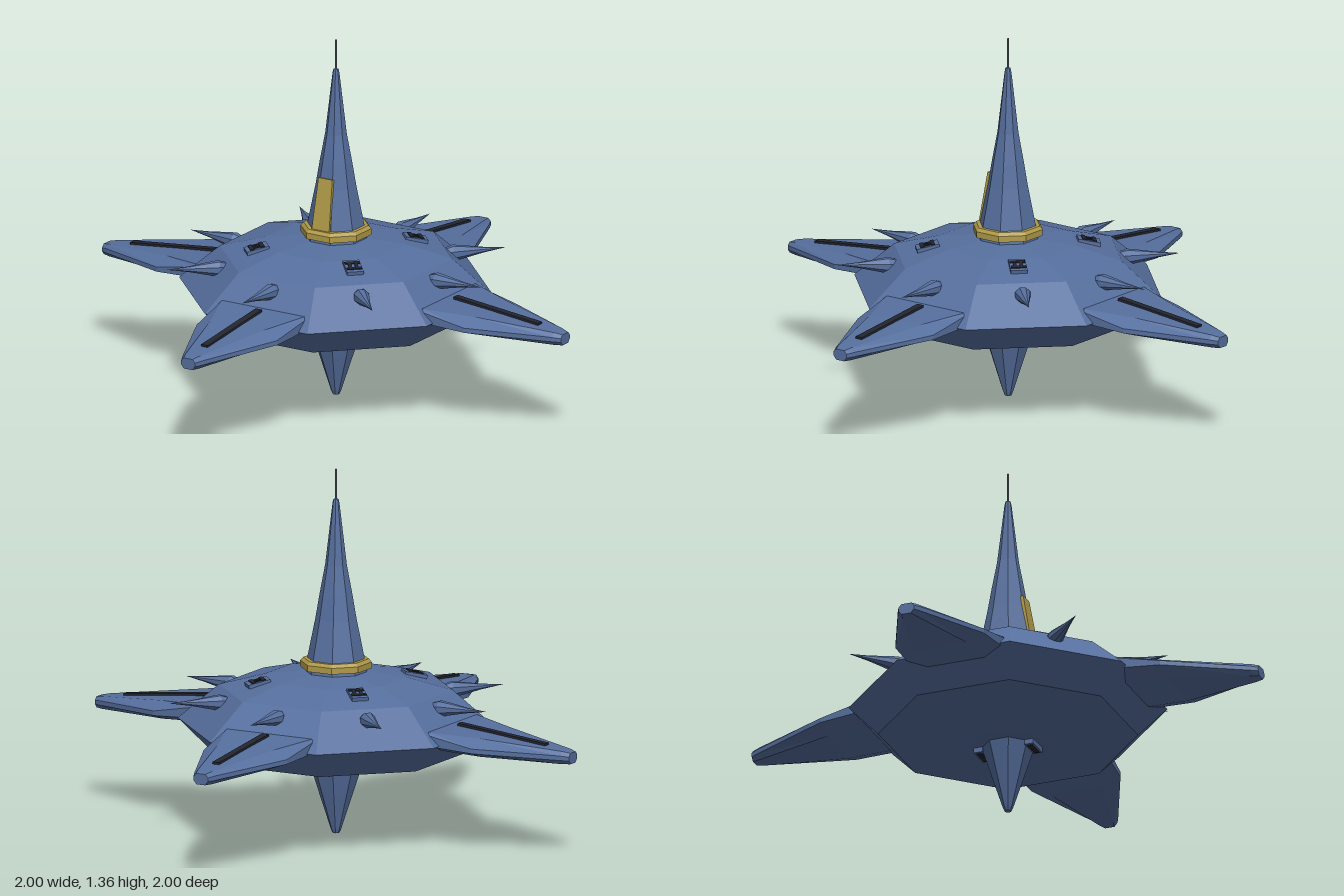
import * as THREE from 'three';

const blue = new THREE.MeshStandardMaterial({ color: 0x566f9e });
const dark = new THREE.MeshStandardMaterial({ color: 0x23252f });
const gold = new THREE.MeshStandardMaterial({ color: 0xb09a48 });
const grey = new THREE.MeshStandardMaterial({ color: 0x777a82 });

// Faceted mesh: unshared corners give flat normals
function part(name, geometry, material) {
  const geo = geometry.index ? geometry.toNonIndexed() : geometry;
  geo.computeVertexNormals();
  const mesh = new THREE.Mesh(geo, material);
  mesh.name = name;
  return mesh;
}

// Eight-sided solid with flats facing the axes; profile is [half width, y] from bottom to top
function octagon(name, profile, material) {
  const points = profile.map(([w, y]) => new THREE.Vector2(w / Math.cos(Math.PI / 8), y));
  return part(name, new THREE.LatheGeometry(points, 8, Math.PI / 8), material);
}

function box(name, w, h, d, material, x, y, z) {
  const mesh = part(name, new THREE.BoxGeometry(w, h, d), material);
  mesh.position.set(x, y, z);
  return mesh;
}

// Fin pointing along +z, lofted through bevelled cross-sections
function finGeometry() {
  // z, half width, top, bottom, top bevel drop, top flat fraction
  const sections = [
    [0.42, 0.19, 0.468, 0.39, 0.1, 0.97],
    [0.495, 0.188, 0.466, 0.388, 0.12, 0.95],
    [0.67, 0.175, 0.45, 0.38, 0.4, 0.65],
    [0.97, 0.045, 0.418, 0.37, 0.3, 0.65],
    [1.0, 0.03, 0.412, 0.371, 0.3, 0.65],
  ];
  const positions = [];
  const index = [];
  sections.forEach(([z, w, top, bottom, drop, flat]) => {
    const h = top - bottom;
    const low = bottom + h * 0.35;
    const high = top - h * drop;
    [[-0.6 * w, bottom], [0.6 * w, bottom], [w, low], [w, high],
      [flat * w, top], [-flat * w, top], [-w, high], [-w, low]]
      .forEach(([x, y]) => positions.push(x, y, z));
  });
  for (let s = 0; s < sections.length - 1; s++) {
    for (let i = 0; i < 8; i++) {
      const a = s * 8 + i;
      const b = s * 8 + (i + 1) % 8;
      index.push(a, b, b + 8, a, b + 8, a + 8);
    }
  }
  const end = (sections.length - 1) * 8;
  for (let i = 1; i < 7; i++) index.push(end, end + i, end + i + 1);
  const geo = new THREE.BufferGeometry();
  geo.setAttribute('position', new THREE.Float32BufferAttribute(positions, 3));
  geo.setIndex(index);
  return geo;
}

function makeFin() {
  const fin = new THREE.Group();
  fin.name = 'fin';
  fin.add(part('finBlade', finGeometry(), blue));
  const slot = box('finSlot', 0.028, 0.014, 0.37, dark, 0, 0.447, 0.705);
  slot.rotation.x = 0.104;
  fin.add(slot);
  return fin;
}

// Teardrop spike pointing outward along +z
function makeSpike() {
  const profile = [[0, 0], [0.016, 0.005], [0.028, 0.05], [0.022, 0.09], [0.01, 0.16], [0, 0.245]];
  const spike = octagon('spike', profile, blue);
  spike.rotation.x = Math.PI / 2 - 0.04;
  spike.position.set(0, 0.515, 0.39);
  return spike;
}

// Small roof hatch with dark slots
function makeHatch() {
  const hatch = new THREE.Group();
  hatch.name = 'hatch';
  hatch.add(box('hatchPlate', 0.062, 0.016, 0.085, blue, 0, 0, 0));
  for (const s of [-1, 1]) {
    hatch.add(box('hatchSlot', 0.056, 0.008, 0.014, dark, 0, 0.008, s * 0.02));
    hatch.add(box('hatchNotch', 0.012, 0.008, 0.03, dark, s * 0.012, 0.0075, 0));
  }
  hatch.position.set(0, 0.583, 0.297);
  hatch.rotation.x = 0.22;
  return hatch;
}

// Turn a +z part around the hull
function around(part, angle) {
  const pivot = new THREE.Group();
  pivot.name = part.name + 'Mount';
  pivot.rotation.y = angle;
  pivot.add(part);
  return pivot;
}

export function createModel() {
  const model = new THREE.Group();
  model.name = 'station';

  // Hull, from the keel plate to the roof
  model.add(octagon('hull', [[0, 0.26], [0.14, 0.26], [0.44, 0.315], [0.54, 0.42],
    [0.4, 0.55], [0.24, 0.595], [0.1, 0.612], [0, 0.612]], blue));

  // Lower spike
  model.add(octagon('keelSpike', [[0, 0.005], [0.012, 0.005], [0.018, 0.02],
    [0.06, 0.16], [0.09, 0.262]], blue));
  for (const s of [-1, 1]) {
    model.add(box('keelBlock', 0.09, 0.024, 0.035, blue, 0, 0.253, s * 0.1));
    model.add(box('keelVent', 0.07, 0.006, 0.02, dark, 0, 0.241, s * 0.1));
  }

  // Tower with its collar, front panel and mast
  model.add(octagon('tower', [[0.108, 0.6], [0.098, 0.66], [0.07, 0.81], [0.056, 0.9],
    [0.037, 1.01], [0.012, 1.24], [0.009, 1.255], [0, 1.258]], blue));
  model.add(octagon('towerCollar', [[0.1, 0.625], [0.122, 0.625], [0.122, 0.648],
    [0.112, 0.66], [0.09, 0.66]], gold));
  const shape = new THREE.Shape([[-0.038, 0], [0.038, 0], [0.03, 0.193], [-0.03, 0.193]]
    .map(([x, y]) => new THREE.Vector2(x, y)));
  const panel = part('towerPanel', new THREE.ExtrudeGeometry(shape, { depth: 0.02, bevelEnabled: false }), gold);
  panel.position.set(0, 0.658, 0.086);
  panel.rotation.x = -0.175;
  model.add(panel);
  const mast = part('mast', new THREE.CylinderGeometry(0.003, 0.003, 0.12, 6), grey);
  mast.position.y = 1.308;
  model.add(mast);

  // Fins on the axes, hatches on the diagonals, spikes on both
  for (let i = 0; i < 8; i++) {
    const angle = i * Math.PI / 4;
    model.add(around(makeSpike(), angle));
    model.add(around(i % 2 ? makeHatch() : makeFin(), angle));
  }
  return model;
}
